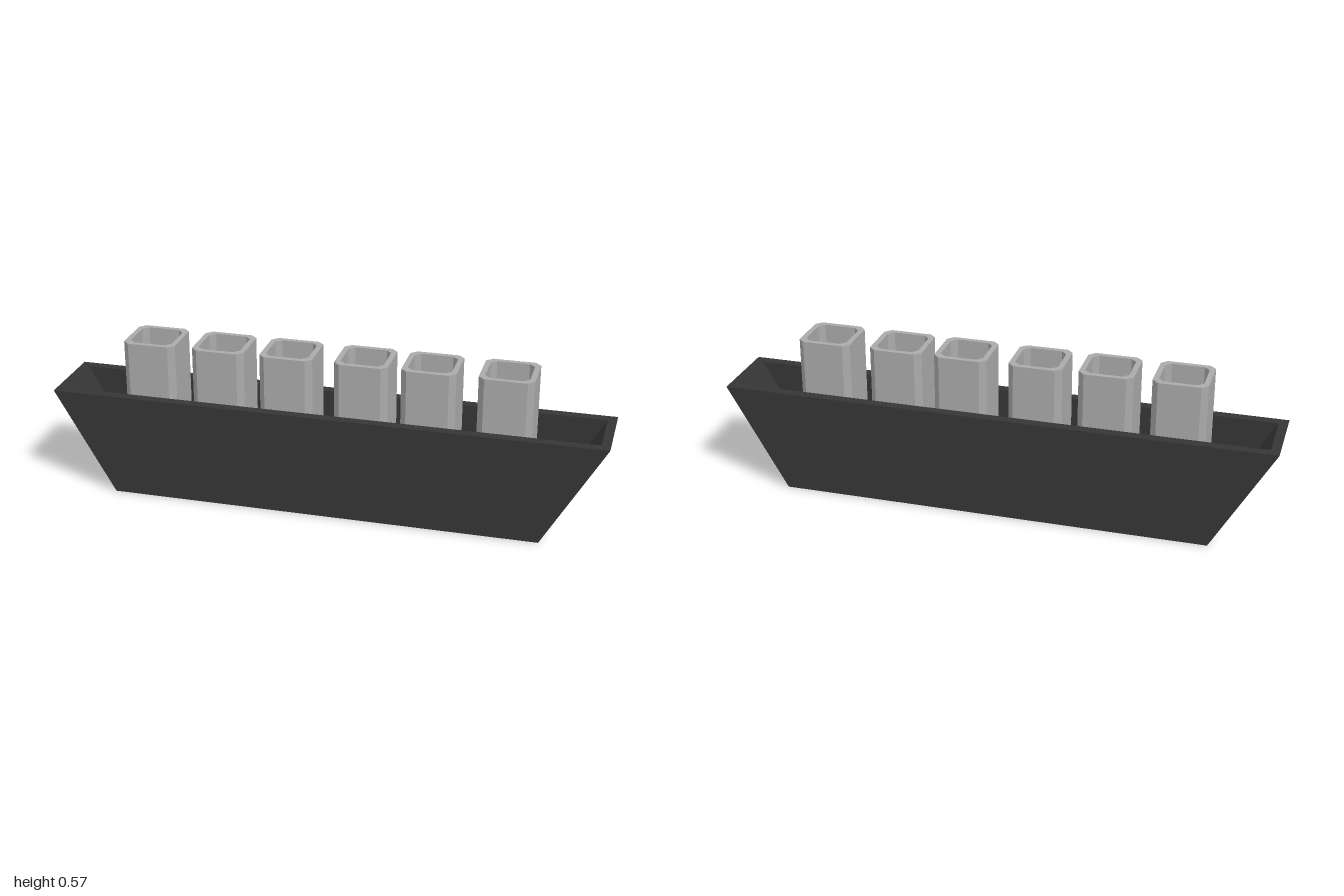
import * as THREE from 'three';

// Closed flat-shaded skin through stacked rings, capped at the first and last ring.
// Rings run counter-clockwise seen from above, from the outer base over the rim to the inner floor.
function skin(rings) {
  const n = rings[0].length;
  const index = [];
  for (let r = 0; r < rings.length - 1; r++) {
    for (let i = 0; i < n; i++) {
      const a = r * n + i, b = r * n + (i + 1) % n;
      index.push(a, b, b + n, a, b + n, a + n);
    }
  }
  const last = (rings.length - 1) * n;
  for (let i = 1; i < n - 1; i++) {
    index.push(0, i + 1, i);
    index.push(last, last + i, last + i + 1);
  }
  const indexed = new THREE.BufferGeometry();
  indexed.setAttribute('position', new THREE.Float32BufferAttribute(rings.flat(2), 3));
  indexed.setIndex(index);
  const geometry = indexed.toNonIndexed();
  geometry.computeVertexNormals();
  return geometry;
}

const rectangle = (x, z, y) => [[x, y, z], [x, y, -z], [-x, y, -z], [-x, y, z]];

// Square ring of half width h with corners cut by c
const cutSquare = (h, c, y) => [
  [h, y, h - c], [h, y, c - h], [h - c, y, -h], [c - h, y, -h],
  [-h, y, c - h], [-h, y, h - c], [c - h, y, h], [h - c, y, h],
];

export function createModel() {
  const model = new THREE.Group();
  const darkGrey = new THREE.MeshStandardMaterial({ color: 0x363636 });
  darkGrey.name = 'darkGrey';
  const lightGrey = new THREE.MeshStandardMaterial({ color: 0xaaaaaa });
  lightGrey.name = 'lightGrey';

  // Trough with sloping ends
  const trough = new THREE.Mesh(skin([
    rectangle(0.78, 0.142, 0),
    rectangle(1, 0.142, 0.379),
    rectangle(0.967, 0.106, 0.379),
    rectangle(0.766, 0.106, 0.035),
  ]), darkGrey);
  trough.name = 'trough';
  model.add(trough);

  // Row of open pots standing on the trough floor
  const potGeometry = skin([
    cutSquare(0.096, 0.022, 0.035),
    cutSquare(0.096, 0.022, 0.571),
    cutSquare(0.077, 0.02, 0.571),
    cutSquare(0.077, 0.02, 0.055),
  ]);
  [-0.647, -0.391, -0.142, 0.128, 0.366, 0.634].forEach((x, i) => {
    const pot = new THREE.Mesh(potGeometry, lightGrey);
    pot.name = `pot${i + 1}`;
    pot.position.x = x;
    model.add(pot);
  });

  return model;
}
